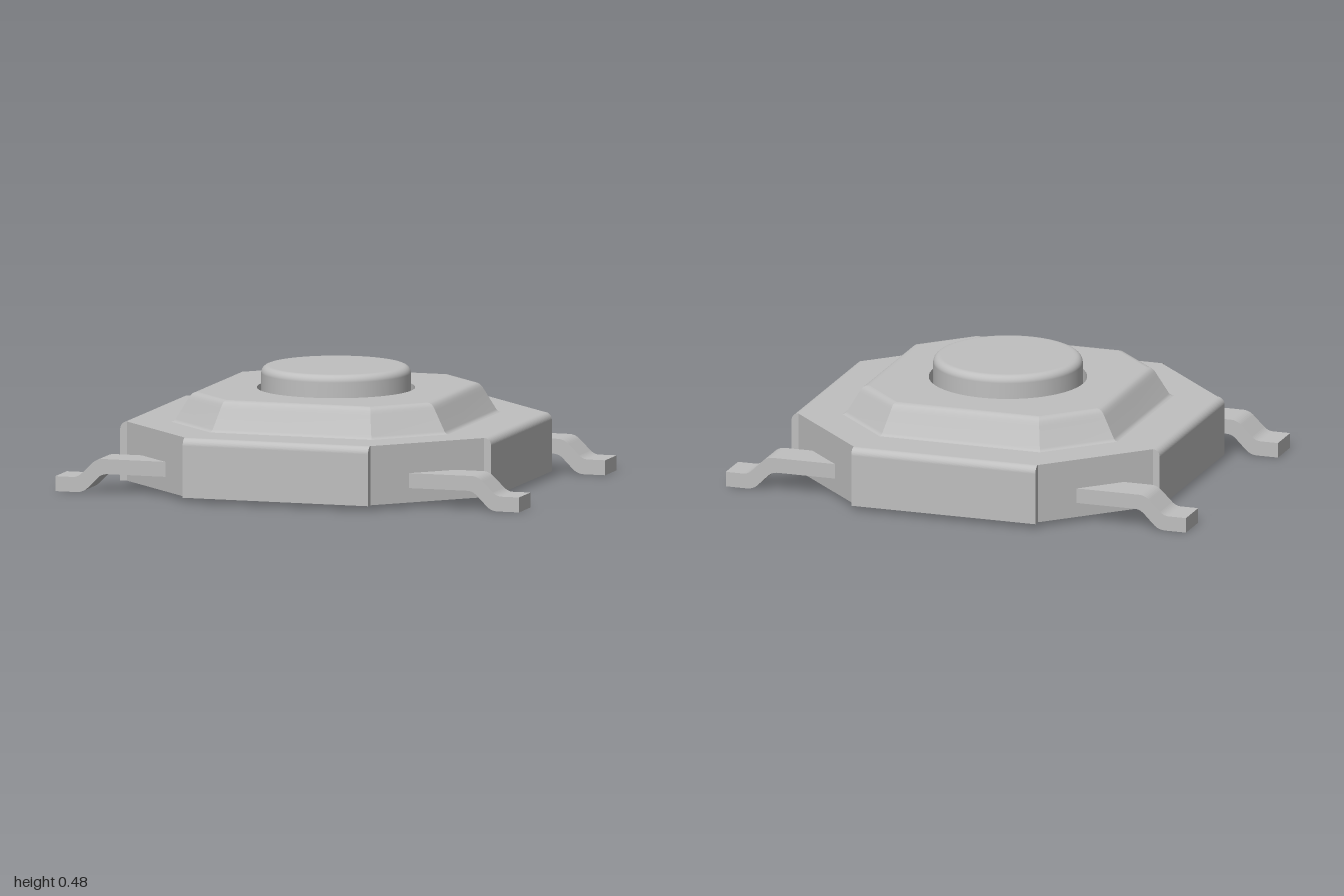
import * as THREE from 'three';

// Corners of a square of half-width h whose corners are cut off at c
function octagon(h, c) {
  return [[h, -c], [h, c], [c, h], [-c, h], [-h, c], [-h, -c], [-c, -h], [c, -h]];
}

function octagonShape(h, c) {
  return new THREE.Shape(octagon(h, c).map(([x, z]) => new THREE.Vector2(x, z)));
}

// Octagonal wall through rings [h, c, y]: smooth up the wall, sharp between sides
function octagonWall(rings) {
  const pos = [], idx = [];
  for (let s = 0; s < 8; s++) {
    const base = pos.length / 3;
    rings.forEach(([h, c, y], r) => {
      const pts = octagon(h, c), a = pts[s], b = pts[(s + 1) % 8];
      pos.push(a[0], y, a[1], b[0], y, b[1]);
      if (r > 0) {
        const k = base + 2 * (r - 1);
        idx.push(k, k + 2, k + 1, k + 1, k + 2, k + 3);
      }
    });
  }
  const geo = new THREE.BufferGeometry();
  geo.setAttribute('position', new THREE.Float32BufferAttribute(pos, 3));
  geo.setIndex(idx);
  geo.computeVertexNormals();
  return geo;
}

export function createModel() {
  const grey = new THREE.MeshStandardMaterial({ color: 0xbfbfbf });
  grey.name = 'grey';
  const model = new THREE.Group();
  model.name = 'pushSwitch';
  const add = (name, geo) => {
    const mesh = new THREE.Mesh(geo, grey);
    mesh.name = name;
    model.add(mesh);
    return mesh;
  };

  // Octagonal housing
  const bottom = 0.02, deck = 0.265;
  const bodyGeo = new THREE.ExtrudeGeometry(octagonShape(0.77, 0.4), { depth: deck - bottom, bevelEnabled: false });
  bodyGeo.rotateX(-Math.PI / 2).translate(0, bottom, 0);
  add('body', bodyGeo);

  // Folded side plates with a rounded upper edge
  const plate = new THREE.Shape();
  plate.moveTo(0.765, bottom);
  plate.lineTo(0.8, bottom);
  plate.lineTo(0.8, deck - 0.03);
  plate.absarc(0.77, deck - 0.03, 0.03, 0, Math.PI / 2);
  plate.lineTo(0.765, deck);
  const plateGeo = new THREE.ExtrudeGeometry(plate, { depth: 0.8, bevelEnabled: false, curveSegments: 8 });
  plateGeo.translate(0, 0, -0.4);
  for (let i = 0; i < 4; i++) add('sidePlate', plateGeo).rotation.y = i * Math.PI / 2;

  // Raised cover: sloping wall with filleted edges
  const coverTop = 0.388;
  add('coverWall', octagonWall([
    [0.597, 0.348, deck], [0.588, 0.345, 0.268], [0.58, 0.342, 0.276],
    [0.534, 0.323, 0.357], [0.526, 0.32, 0.371], [0.517, 0.317, 0.381],
    [0.507, 0.313, 0.3865], [0.495, 0.309, coverTop],
  ]));

  // Flat cover top with a round opening
  const lid = octagonShape(0.495, 0.309);
  lid.holes.push(new THREE.Path().absarc(0, 0, 0.325, 0, Math.PI * 2, true));
  const lidGeo = new THREE.ShapeGeometry(lid, 48);
  lidGeo.rotateX(-Math.PI / 2).translate(0, coverTop, 0);
  add('coverTop', lidGeo);

  // Inner wall of the opening
  const wellGeo = new THREE.LatheGeometry(
    [new THREE.Vector2(0.325, coverTop), new THREE.Vector2(0.325, deck)], 64);
  add('openingWall', wellGeo);

  // Round button with a softened rim
  const profile = [new THREE.Vector2(0.307, deck), new THREE.Vector2(0.307, 0.449)];
  for (let i = 1; i <= 6; i++) {
    const a = i / 6 * Math.PI / 2;
    profile.push(new THREE.Vector2(0.277 + 0.03 * Math.cos(a), 0.449 + 0.03 * Math.sin(a)));
  }
  profile.push(new THREE.Vector2(0.27, 0.479), new THREE.Vector2(0, 0.479));
  add('button', new THREE.LatheGeometry(profile, 64));

  // Four bent legs
  const leg = new THREE.Shape();
  leg.moveTo(0.5, 0.08);
  leg.lineTo(0.775, 0.08);
  leg.quadraticCurveTo(0.8, 0.08, 0.818, 0.062);
  leg.lineTo(0.86, 0.02);
  leg.quadraticCurveTo(0.88, 0, 0.91, 0);
  leg.lineTo(1, 0);
  leg.lineTo(1, 0.062);
  leg.lineTo(0.925, 0.062);
  leg.quadraticCurveTo(0.905, 0.062, 0.888, 0.077);
  leg.lineTo(0.842, 0.122);
  leg.quadraticCurveTo(0.822, 0.142, 0.795, 0.142);
  leg.lineTo(0.5, 0.142);
  const legGeo = new THREE.ExtrudeGeometry(leg, { depth: 0.152, bevelEnabled: false, curveSegments: 8 });
  legGeo.translate(0, 0, -0.076);
  for (const sx of [1, -1]) {
    for (const sz of [1, -1]) {
      const mesh = add(sx > 0 ? 'leftLeg' : 'rightLeg', legGeo);
      mesh.position.z = sz * 0.569;
      if (sx < 0) mesh.rotation.y = Math.PI;
    }
  }
  return model;
}
